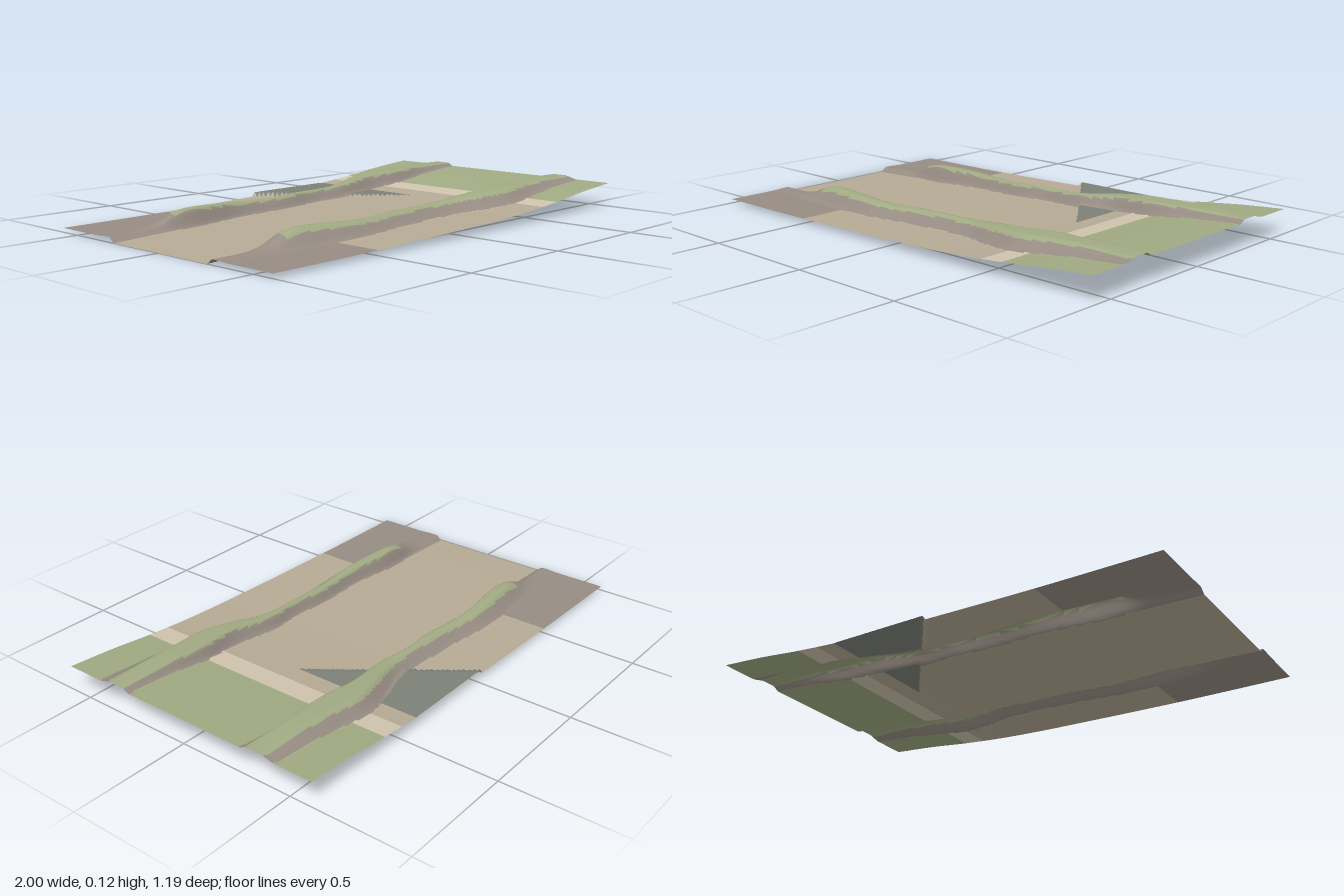
import * as THREE from 'three';

const COLS = 160, ROWS = 170, HALF_X = 1, HALF_Z = 0.595;

// Smooth curve through [x, value] pairs
function curve(points) {
  const interp = new THREE.CubicInterpolant(
    Float32Array.from(points, p => p[0]), Float32Array.from(points, p => p[1]), 1);
  return x => interp.evaluate(x)[0];
}

// Lengthwise profiles of the beach floor, outer ground and dune crest
const floorY = curve([[-1, 0], [-0.75, 0.009], [-0.5, 0.015], [0, 0.03], [0.2, 0.037],
  [0.4, 0.047], [0.6, 0.064], [0.8, 0.086], [1, 0.102]]);
const outerY = curve([[-1, 0.017], [-0.75, 0.018], [-0.5, 0.02], [0, 0.031], [0.2, 0.037],
  [0.4, 0.047], [0.6, 0.064], [0.8, 0.086], [1, 0.102]]);
const crestY = curve([[-1, 0.02], [-0.85, 0.025], [-0.78, 0.038], [-0.7, 0.068], [-0.64, 0.08],
  [-0.5, 0.08], [-0.25, 0.071], [0, 0.08], [0.2, 0.084], [0.4, 0.103], [0.6, 0.114],
  [0.8, 0.12], [1, 0.116]]);

// Distance from the centre line to the inner and outer edge of each dune
const innerZ = curve([[-1, 0.272], [-0.8, 0.276], [-0.6, 0.268], [-0.36, 0.287], [-0.1, 0.272],
  [0.05, 0.28], [0.22, 0.268], [0.42, 0.29], [0.6, 0.277], [0.8, 0.288], [1, 0.284]]);
const outerZ = curve([[-1, 0.35], [-0.7, 0.352], [-0.38, 0.37], [-0.1, 0.348], [0.2, 0.352],
  [0.38, 0.4], [0.5, 0.424], [0.65, 0.414], [0.8, 0.406], [1, 0.4]]);

// Three-cornered slab lying across the back dune
const onSlab = (x, z) => x < 0.41 && z < -0.04 && x > -0.02 + (z + HALF_Z) * 0.775;

const { smoothstep } = THREE.MathUtils;

function height(x, z) {
  const d = Math.abs(z), inner = innerZ(x), outer = outerZ(x);
  const rise = smoothstep(d, inner - 0.008, inner + 0.024);
  const fall = smoothstep(d, outer - 0.036, outer + 0.036);
  const outside = THREE.MathUtils.lerp(crestY(x), outerY(x), fall);
  const y = THREE.MathUtils.lerp(floorY(x), outside, rise);
  return onSlab(x, z) ? Math.max(y, 0.049) : y;
}

// Which ground covers a point
function surface(x, z) {
  const d = Math.abs(z), inner = innerZ(x), outer = outerZ(x);
  if (d > inner - 0.008 && d < outer + 0.03) {
    if (x < -0.7) return 'rock';
    if (d > inner + 0.016 && d < outer - 0.012) return 'grass';
    return 'rock';
  }
  if (onSlab(x, z)) return 'slab';
  if (x > 0.6) return 'grass';
  if (x > 0.5) return 'paleSand';
  if (x < -0.5 && d > inner) return 'rock';
  return 'sand';
}

const COLORS = {
  sand: 0xb5aa94, paleSand: 0xcfc4ae, grass: 0xa0aa82, rock: 0x968c83, slab: 0x7c8077,
};

export function createModel() {
  const group = new THREE.Group();
  group.name = 'beachTerrain';

  // Height field
  const terrain = new THREE.PlaneGeometry(2 * HALF_X, 2 * HALF_Z, COLS, ROWS);
  terrain.rotateX(-Math.PI / 2);
  const pos = terrain.attributes.position;
  for (let i = 0; i < pos.count; i++) pos.setY(i, height(pos.getX(i), pos.getZ(i)));
  terrain.computeVertexNormals();

  // Sort the grid cells by ground cover
  const faces = Object.fromEntries(Object.keys(COLORS).map(k => [k, []]));
  const index = terrain.index.array;
  for (let i = 0; i < index.length; i += 6) {
    const a = index[i + 1], b = index[i + 5];
    const x = (pos.getX(a) + pos.getX(b)) / 2, z = (pos.getZ(a) + pos.getZ(b)) / 2;
    faces[surface(x, z)].push(...index.slice(i, i + 6));
  }

  // One mesh per ground cover, sharing vertices so shading stays continuous
  for (const [name, list] of Object.entries(faces)) {
    const part = new THREE.BufferGeometry();
    part.setAttribute('position', pos);
    part.setAttribute('normal', terrain.attributes.normal);
    part.setIndex(list);
    const mesh = new THREE.Mesh(part, new THREE.MeshStandardMaterial({
      color: COLORS[name], side: THREE.DoubleSide,
    }));
    mesh.name = name;
    group.add(mesh);
  }
  return group;
}
